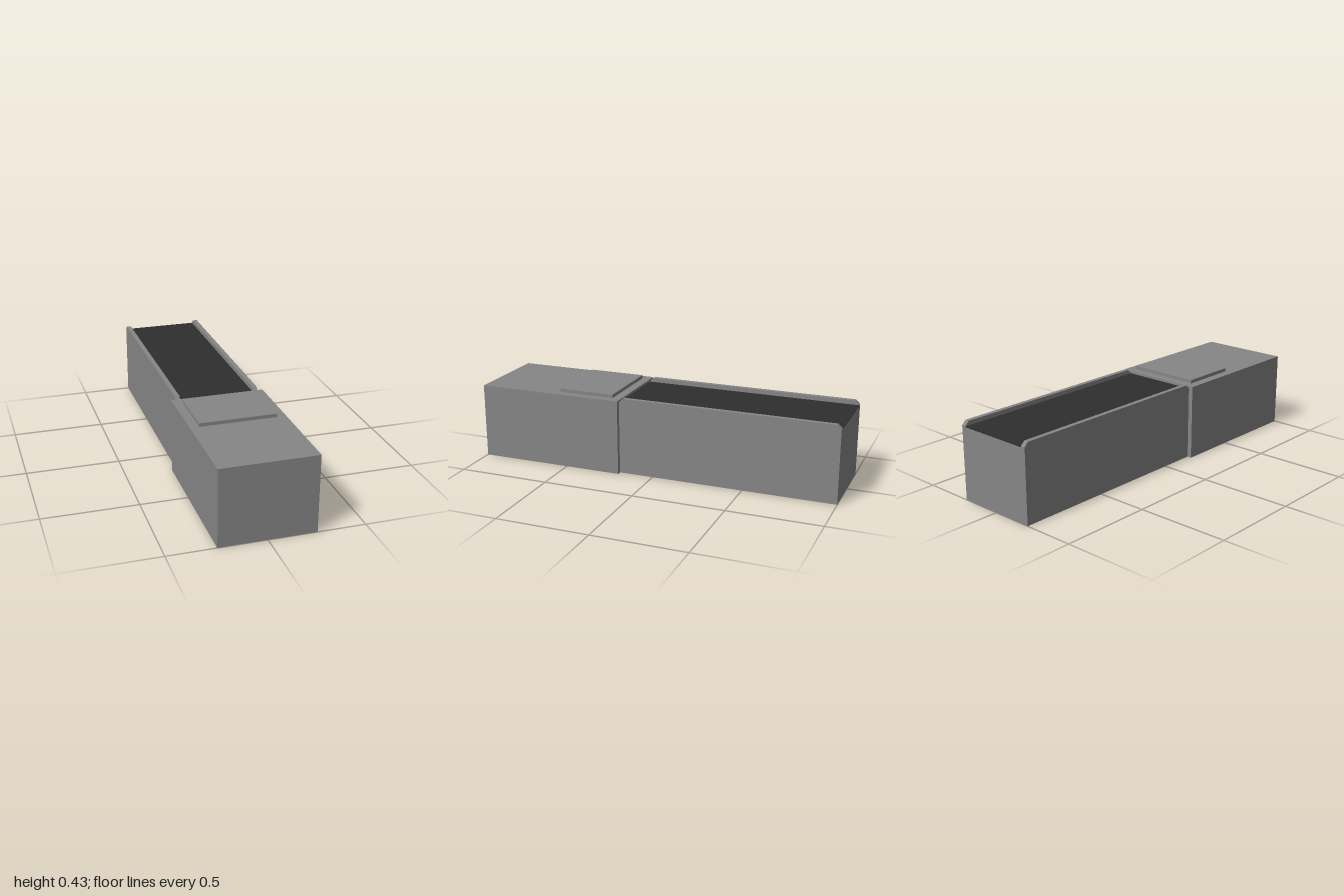
import * as THREE from 'three';

export function createModel() {
  const model = new THREE.Group();
  model.name = 'checkoutCounter';

  const material = (name, color) => {
    const m = new THREE.MeshStandardMaterial({ color });
    m.name = name;
    return m;
  };
  const grey = material('counterGrey', 0x868686);
  const dark = material('beltRubber', 0x2e2e2e);

  const add = (name, geometry, mat) => {
    const mesh = new THREE.Mesh(geometry, mat);
    mesh.name = name;
    model.add(mesh);
    return mesh;
  };

  // Box given by its extents along each axis
  const box = (name, mat, [x0, x1], [y0, y1], [z0, z1]) =>
    add(name, new THREE.BoxGeometry(x1 - x0, y1 - y0, z1 - z0), mat)
      .position.set((x0 + x1) / 2, (y0 + y1) / 2, (z0 + z1) / 2);

  // Front counter with its raised scanner plate
  box('counterBody', grey, [-0.25, 0.25], [0, 0.409], [0.19, 1]);
  box('scannerPlate', grey, [-0.203, 0.203], [0.409, 0.428], [0.237, 0.547]);

  // Conveyor cabinet, with the belt lying on top between the rails
  box('conveyorBody', grey, [-0.225, 0.225], [0, 0.392], [-1, 0.19]);
  box('conveyorBelt', dark, [-0.2, 0.2], [0.392, 0.396], [-1, 0.19]);

  // Side rails with chamfered ends: profile in (-z, y), extruded across x
  const profile = new THREE.Shape([
    [-0.19, 0.392], [1, 0.392], [1, 0.397], [0.978, 0.419], [-0.168, 0.419], [-0.19, 0.397],
  ].map(([x, y]) => new THREE.Vector2(x, y)));
  for (const side of [-1, 1]) {
    const rail = new THREE.ExtrudeGeometry(profile, { depth: 0.025, bevelEnabled: false });
    rail.translate(0, 0, -0.0125).rotateY(Math.PI / 2);
    add(side > 0 ? 'leftRail' : 'rightRail', rail, grey).position.x = side * 0.2125;
  }

  return model;
}
